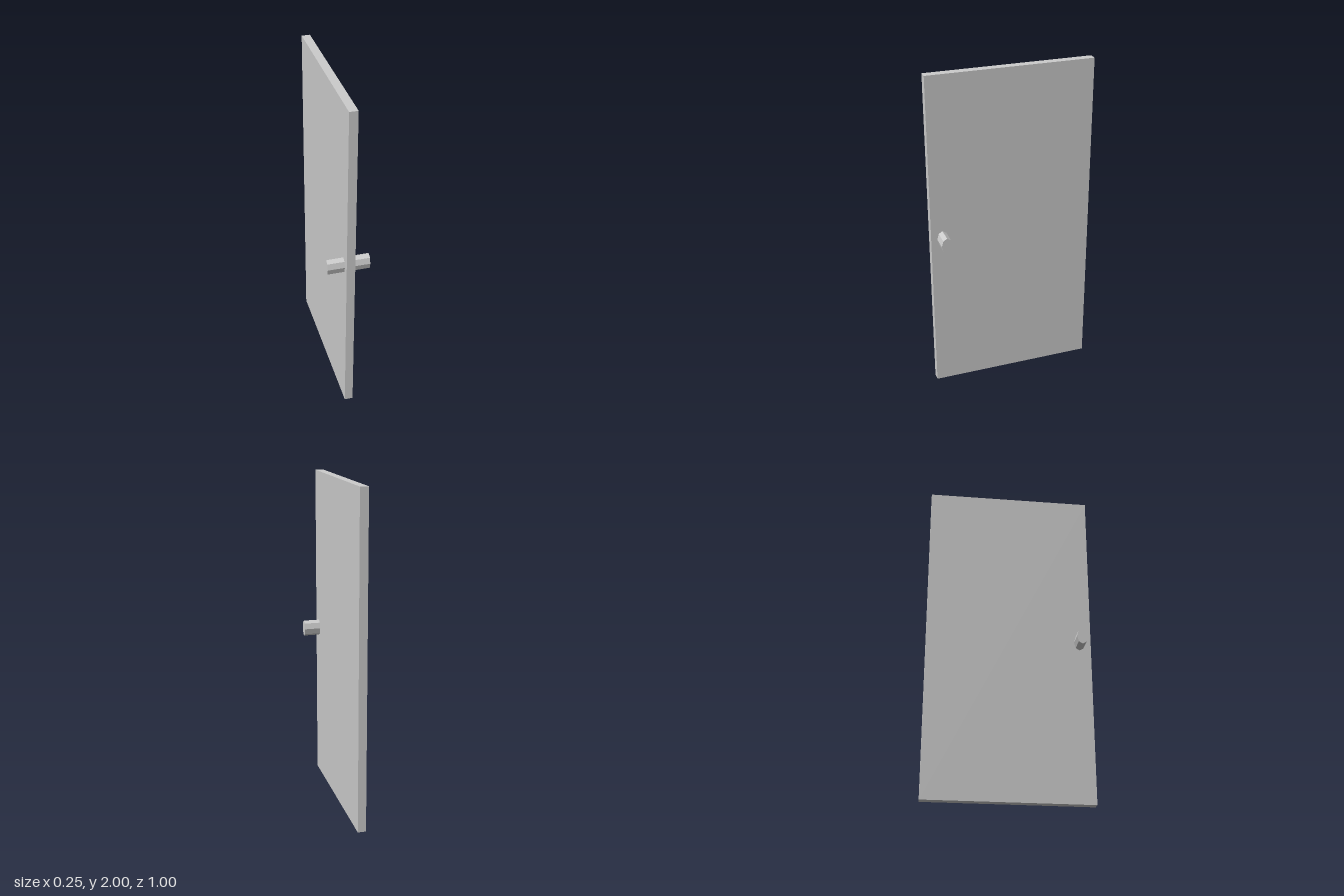
import * as THREE from 'three';

export function createModel() {
  const group = new THREE.Group();
  const material = new THREE.MeshStandardMaterial({ color: 0xcccccc, flatShading: true });

  // Door slab standing on the ground
  const panel = new THREE.Mesh(new THREE.BoxGeometry(0.05, 2, 1), material);
  panel.name = 'doorPanel';
  panel.position.y = 1;
  group.add(panel);

  // Eight-sided oval knobs, one on each face
  const knobGeometry = new THREE.CylinderGeometry(1, 1, 0.1, 8);
  knobGeometry.rotateZ(Math.PI / 2).scale(1, 0.05, 0.033);
  for (const side of [1, -1]) {
    const knob = new THREE.Mesh(knobGeometry, material);
    knob.name = side > 0 ? 'leftKnob' : 'rightKnob';
    knob.position.set(side * 0.075, 1, 0.43);
    group.add(knob);
  }
  return group;
}
